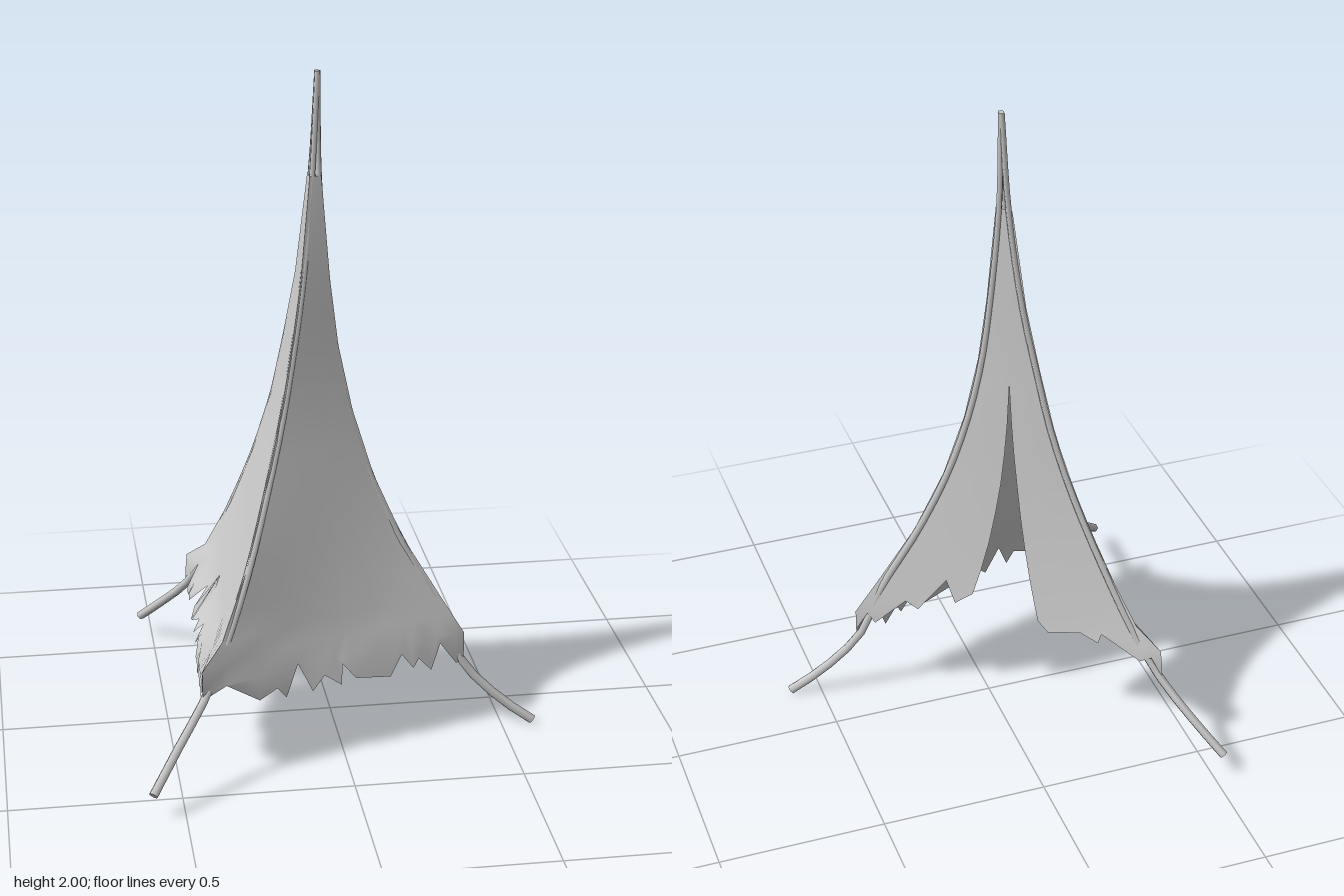
import * as THREE from 'three';

// Pole centre lines from tip to foot: [x, y, z]
const poleRight = [
  [-0.035, 2, 0], [-0.034, 1.7, 0.01], [-0.014, 1.4, 0.026], [0.008, 1.2, 0.036], [0.048, 1, 0.048],
  [0.108, 0.8, 0.068], [0.195, 0.6, 0.092], [0.302, 0.4, 0.12], [0.375, 0.215, 0.14], [0.49, 0.09, 0.165], [0.594, 0.015, 0.186],
];
const poleFront = [
  [-0.037, 2, 0.005], [-0.054, 1.7, 0.016], [-0.086, 1.4, 0.053], [-0.118, 1.2, 0.083], [-0.158, 1, 0.123],
  [-0.213, 0.8, 0.19], [-0.278, 0.6, 0.273], [-0.358, 0.4, 0.352], [-0.422, 0.275, 0.413], [-0.51, 0.175, 0.515], [-0.592, 0.08, 0.612],
];
const poleBack = [
  [-0.037, 2, -0.002], [-0.054, 1.7, -0.014], [-0.086, 1.4, -0.045], [-0.118, 1.2, -0.08], [-0.153, 1, -0.122],
  [-0.203, 0.8, -0.18], [-0.265, 0.6, -0.26], [-0.335, 0.4, -0.352], [-0.393, 0.27, -0.422], [-0.462, 0.165, -0.52], [-0.535, 0.07, -0.614],
];

// The cloth lies just outside a pole and ends in a short upright corner
function clothEdge(pole) {
  const out = pole.map(([x, y, z]) => {
    const r = Math.hypot(x + 0.04, z) || 1;
    return [x + (0.012 * (x + 0.04)) / r, y, z + (0.012 * z) / r];
  });
  const [x7, y7, z7] = out[7], [x8, y8, z8] = out[8];
  return [...out.slice(0, 7), [x7, y7 + 0.02, z7], [x8, y8 + 0.085, z8], [x8, 0, z8]];
}

// Point on an edge at a given height
function at(edge, y) {
  let i = 0;
  while (i < edge.length - 2 && edge[i + 1][1] > y) i++;
  const [a, b] = [edge[i], edge[i + 1]];
  return new THREE.Vector3(...a).lerp(new THREE.Vector3(...b), (a[1] - y) / (a[1] - b[1]));
}

const levels = [1.7, 1.55, 1.4, 1.3, 1.2, 1.13, 1, 0.9, 0.8, 0.7, 0.6, 0.5, 0.42, 0.36, 0.3, 0];

// Sheet between two edges, sagging mid-span; hem is a list of [position across, height]
function panel(name, left, right, hem, across, material) {
  const pos = [], index = [], n = hem.length;
  levels.forEach((level, r) => {
    hem.forEach(([t, hemY], c) => {
      const y = Math.max(level, hemY), s = across(t, y);
      const sag = 0.32 * s * (1 - s) * THREE.MathUtils.clamp((0.8 - y) / 0.5, 0, 1);
      const p = at(left, y + sag).lerp(at(right, y + sag), s);
      pos.push(p.x, y, p.z);
      if (r && c) {
        const d = r * n + c, b = d - n;
        index.push(b - 1, d - 1, b, b, d - 1, d);
      }
    });
  });
  const geo = new THREE.BufferGeometry();
  geo.setAttribute('position', new THREE.Float32BufferAttribute(pos, 3));
  geo.setIndex(index);
  geo.computeVertexNormals();
  const mesh = new THREE.Mesh(geo, material);
  mesh.name = name;
  return mesh;
}

// Slim tapering six-sided pole with closed ends
function pole(name, points, material) {
  const curve = new THREE.CatmullRomCurve3(points.map((p) => new THREE.Vector3(...p)));
  const sides = 6, segs = 28;
  const geo = new THREE.TubeGeometry(curve, segs, 1, sides, false);
  const attr = geo.attributes.position, p = new THREE.Vector3();
  const group = new THREE.Group();
  const radius = (t) => 0.008 + 0.006 * t;
  for (let i = 0; i <= segs; i++) {
    const centre = curve.getPointAt(i / segs);
    for (let j = 0; j <= sides; j++) {
      const k = i * (sides + 1) + j;
      p.fromBufferAttribute(attr, k).sub(centre).multiplyScalar(radius(i / segs)).add(centre);
      attr.setXYZ(k, p.x, p.y, p.z);
    }
  }
  group.add(new THREE.Mesh(geo, material));
  for (const t of [0, 1]) {
    const cap = new THREE.Mesh(new THREE.CircleGeometry(radius(t), sides), material);
    const centre = curve.getPointAt(t), dir = curve.getTangentAt(t).multiplyScalar(t ? 1 : -1);
    cap.position.copy(centre);
    cap.lookAt(centre.add(dir));
    group.add(cap);
  }
  group.name = name;
  return group;
}

export function createModel() {
  const model = new THREE.Group();
  model.name = 'tent';
  const wood = new THREE.MeshStandardMaterial({ color: 0xcccccc });
  const cloth = new THREE.MeshStandardMaterial({ color: 0xcccccc, side: THREE.DoubleSide });

  model.add(pole('rightPole', poleRight, wood), pole('frontPole', poleFront, wood), pole('backPole', poleBack, wood));

  const [eRight, eFront, eBack] = [poleRight, poleFront, poleBack].map(clothEdge);
  const full = (s) => s;

  // Ragged front and side cloths
  const frontHem = [
    [0, 0.27], [0.09, 0.3], [0.21, 0.23], [0.28, 0.255], [0.31, 0.22], [0.36, 0.31], [0.41, 0.22], [0.47, 0.26], [0.52, 0.22],
    [0.55, 0.28], [0.58, 0.23], [0.71, 0.21], [0.77, 0.27], [0.8, 0.22], [0.82, 0.25], [0.87, 0.2], [0.91, 0.28], [0.97, 0.205], [1, 0.21],
  ];
  const sideHem = [
    [0, 0.27], [0.09, 0.37], [0.14, 0.27], [0.18, 0.33], [0.21, 0.28], [0.26, 0.36], [0.31, 0.25], [0.355, 0.43], [0.38, 0.28],
    [0.42, 0.3], [0.46, 0.27], [0.49, 0.31], [0.51, 0.25], [0.55, 0.29], [0.59, 0.24], [0.65, 0.26], [0.69, 0.22], [0.75, 0.27],
    [0.8, 0.22], [0.84, 0.26], [0.88, 0.225], [0.95, 0.3], [1, 0.27],
  ];
  model.add(panel('frontCloth', eFront, eRight, frontHem, full, cloth));
  model.add(panel('sideCloth', eBack, eFront, sideHem, full, cloth));

  // Entrance cloth: two flaps parting below a slit
  const part = (y) => Math.max(0, (1.13 - y) / 0.73);
  const flapHemA = [[0, 0.23], [0.1, 0.3], [0.2, 0.27], [0.35, 0.36], [0.5, 0.34], [0.65, 0.45], [0.85, 0.38], [1, 0.42]];
  const flapHemB = [[0, 0.37], [0.06, 0.34], [0.4, 0.36], [0.5, 0.34], [0.6, 0.37], [0.8, 0.31], [0.9, 0.33], [1, 0.27]];
  model.add(panel('entranceFlapNear', eRight, eBack, flapHemA, (s, y) => s * (0.5 - 0.15 * part(y)), cloth));
  model.add(panel('entranceFlapFar', eRight, eBack, flapHemB, (s, y) => 1 - (1 - s) * (0.5 - 0.12 * part(y)), cloth));

  return model;
}
